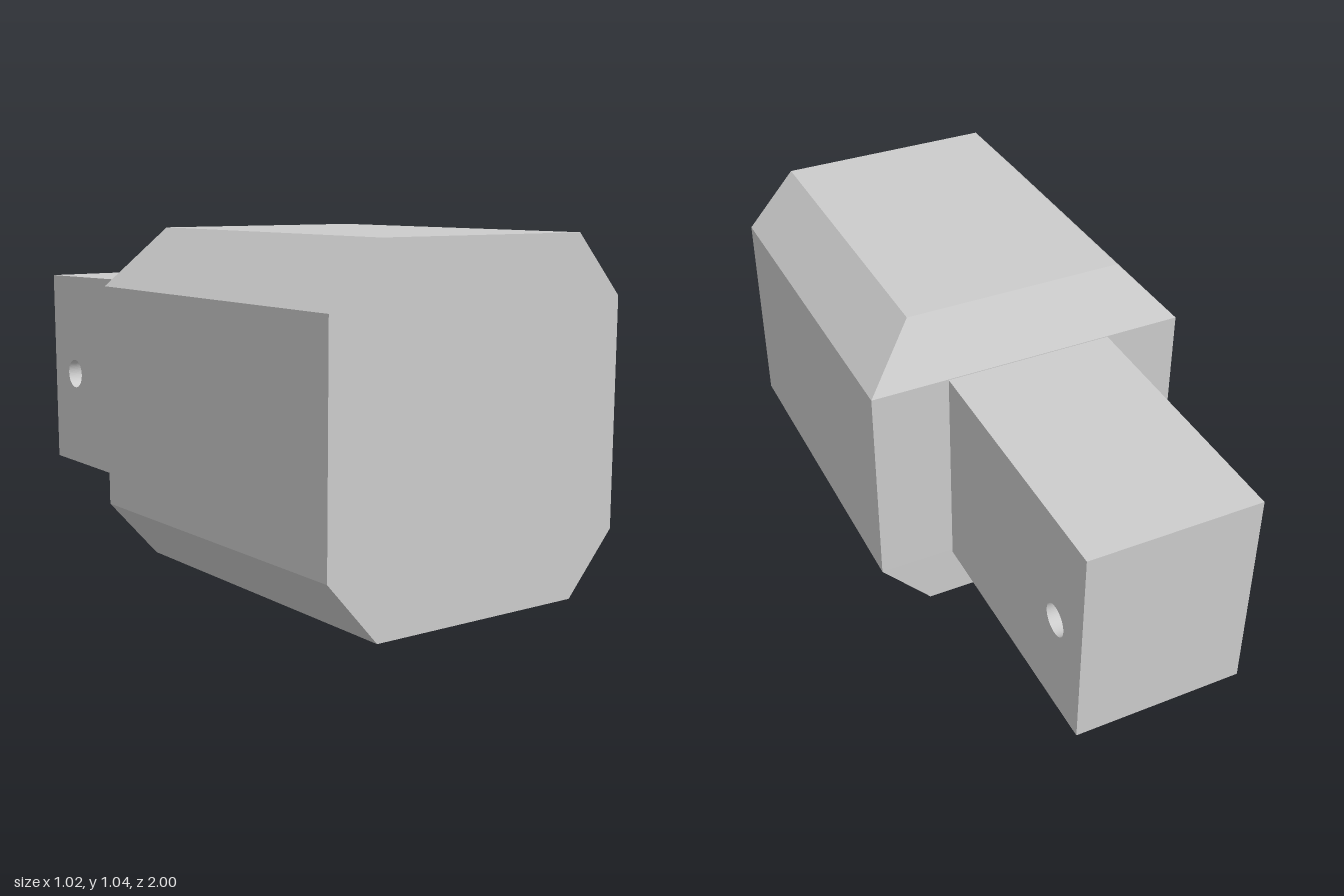
import * as THREE from 'three';

const material = new THREE.MeshStandardMaterial({ color: 0xcccccc, flatShading: true });

// Eight-sided block: a box with three height rows, each row given its own width and depth
function makeBody() {
  const rows = [
    { half: 0.35, front: 0.004, y: 0.0, back: -0.125 },
    { half: 0.512, front: 0.187, y: 0.18, back: -0.13 },
    { half: 0.512, front: 0.862, y: 0.862, back: -0.143 },
    { half: 0.35, front: 1.042, y: 1.042, back: -0.04 },
  ];
  const geo = new THREE.BoxGeometry(1, 1, 1, 1, 3, 1);
  const pos = geo.attributes.position;
  for (let i = 0; i < pos.count; i++) {
    const row = rows[Math.round((pos.getY(i) + 0.5) * 3)];
    const isFront = pos.getZ(i) > 0;
    pos.setXYZ(i, Math.sign(pos.getX(i)) * row.half, isFront ? row.front : row.y, isFront ? 1 : row.back);
  }
  const flat = geo.toNonIndexed();
  flat.computeVertexNormals();
  return flat;
}

// Side profile of the tang (z, y) with a round cross hole, extruded along x
function makeTang(width, holeZ, holeY, radius) {
  const shape = new THREE.Shape();
  shape.moveTo(-0.985, 0.172);
  shape.lineTo(-0.12, 0.17);
  shape.lineTo(-0.13, 0.86);
  shape.lineTo(-1, 0.843);
  shape.closePath();
  shape.holes.push(new THREE.Path().absarc(holeZ, holeY, radius, 0, Math.PI * 2, true));
  const geo = new THREE.ExtrudeGeometry(shape, { depth: width, bevelEnabled: false, curveSegments: 32 });
  return geo.translate(0, 0, -width / 2).rotateY(-Math.PI / 2);
}

export function createModel() {
  const group = new THREE.Group();
  const add = (name, geo) => {
    const mesh = new THREE.Mesh(geo, material);
    mesh.name = name;
    group.add(mesh);
    return mesh;
  };
  const width = 0.535, holeZ = -0.84, holeY = 0.495, radius = 0.05;

  add('body', makeBody());
  add('tang', makeTang(width, holeZ, holeY, radius));

  // Solid core that closes the cross hole, leaving a blind hole on each side
  const core = add('holeCore', new THREE.CylinderGeometry(radius, radius, width - 0.4, 32).rotateZ(Math.PI / 2));
  core.position.set(0, holeY, holeZ);
  return group;
}
